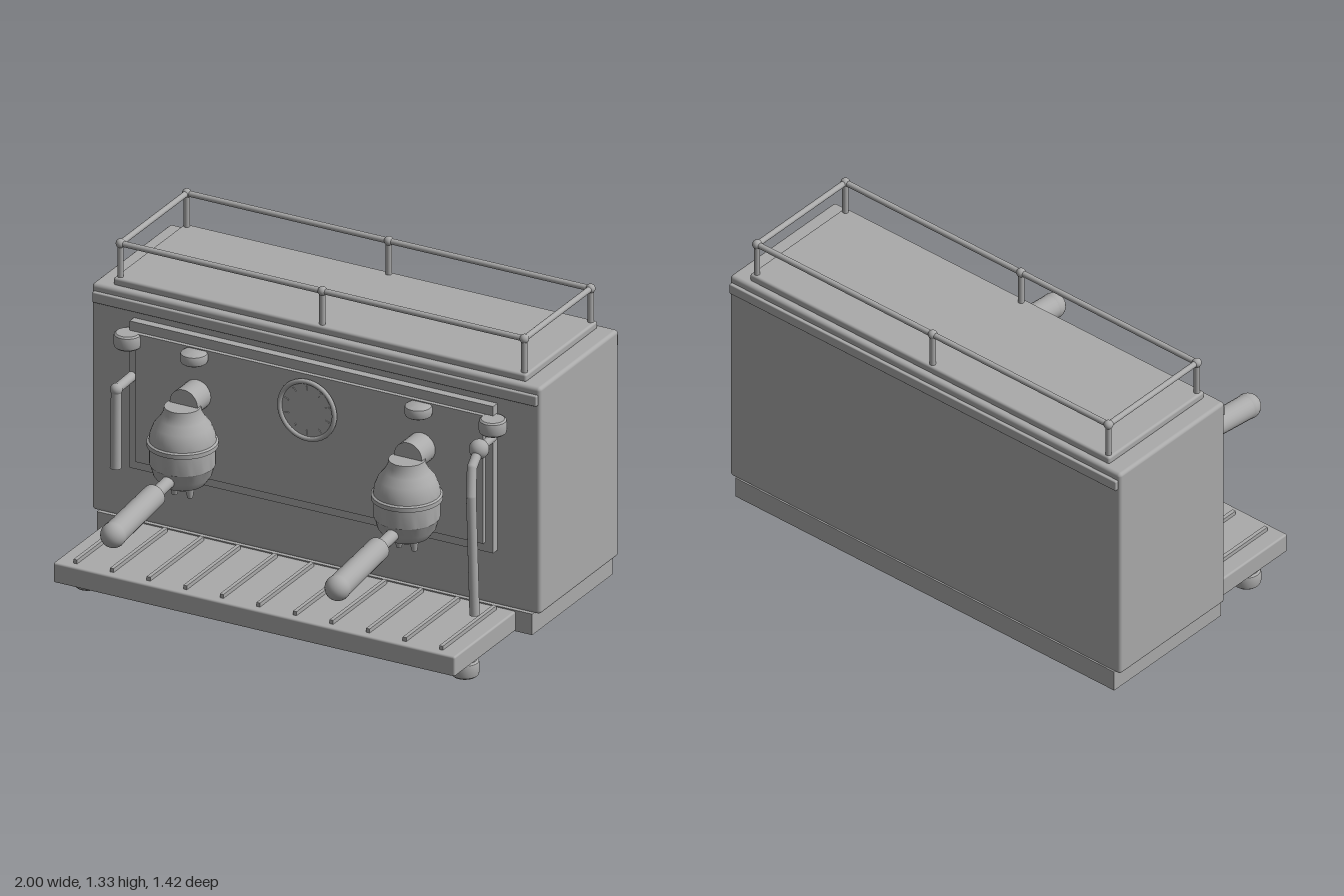
import * as THREE from 'three';
import { toCreasedNormals } from 'three/addons/utils/BufferGeometryUtils.js';
import { RoundedBoxGeometry } from 'three/addons/geometries/RoundedBoxGeometry.js';

const V = (x, y, z) => new THREE.Vector3(x, y, z);

export function createModel() {
  const model = new THREE.Group();
  model.name = 'espressoMachine';
  const metal = new THREE.MeshStandardMaterial({ color: 0xaaaaaa });
  metal.name = 'grey metal';

  function add(name, geometry, x = 0, y = 0, z = 0, parent = model) {
    const mesh = new THREE.Mesh(geometry, metal);
    mesh.name = name;
    mesh.position.set(x, y, z);
    parent.add(mesh);
    return mesh;
  }
  // Box given by its min and max corners, optionally rounded
  function box(name, [x0, x1], [y0, y1], [z0, z1], r = 0) {
    const s = [x1 - x0, y1 - y0, z1 - z0];
    const g = r ? new RoundedBoxGeometry(...s, 3, r) : new THREE.BoxGeometry(...s);
    return add(name, g, (x0 + x1) / 2, (y0 + y1) / 2, (z0 + z1) / 2);
  }
  // Round bar between two points
  function rod(name, a, b, r, rEnd = r, parent = model) {
    const d = b.clone().sub(a);
    const mesh = add(name, new THREE.CylinderGeometry(rEnd, r, d.length(), 24), 0, 0, 0, parent);
    mesh.position.copy(a).addScaledVector(d, 0.5);
    mesh.quaternion.setFromUnitVectors(V(0, 1, 0), d.normalize());
    return mesh;
  }
  const ball = (name, p, r, parent = model) =>
    add(name, new THREE.SphereGeometry(r, 24, 16), p.x, p.y, p.z, parent);
  const lathe = (pts, seg = 40) => toCreasedNormals(
    new THREE.LatheGeometry(pts.map(p => new THREE.Vector2(...p)), seg), 0.6);
  // Bevelled puck used for feet and knobs
  const puck = (r, h) => lathe([[0, 0], [r * 0.82, 0], [r * 0.95, h * 0.1], [r, h * 0.28],
    [r, h * 0.72], [r * 0.95, h * 0.9], [r * 0.82, h], [0, h]], 32);

  // Cabinet, base and drip tray
  box('body', [-1, 1], [0.163, 1.135], [-0.69, -0.06], 0.015);
  box('base', [-0.97, 0.97], [0.075, 0.165], [-0.69, -0.05]);
  box('dripTray', [-0.895, 0.895], [0.075, 0.16], [-0.06, 0.435], 0.008);
  for (let i = -5; i <= 5; i++) {
    const x = i * 0.163;
    box('trayRib', [x - 0.008, x + 0.008], [0.155, 0.177], [-0.03, 0.4]);
  }
  box('frontTrim', [-0.99, 0.99], [1.06, 1.105], [-0.07, -0.045], 0.005);
  box('backTrim', [-0.99, 0.99], [1.06, 1.105], [-0.705, -0.68], 0.005);
  for (const x of [-0.84, 0.84]) for (const z of [-0.535, 0.255]) {
    add('foot', puck(0.058, 0.068), x, 0, z);
    rod('footStem', V(x, 0.06, z), V(x, 0.08, z), 0.04);
  }

  // Cup shelf and gallery rail
  box('cupShelf', [-0.92, 0.92], [1.13, 1.165], [-0.663, -0.09], 0.01);
  const zf = -0.113, zb = -0.642, yr = 1.307, xr = 0.9;
  for (const z of [zf, zb]) {
    rod('railLong', V(-xr, yr, z), V(xr, yr, z), 0.012);
    for (const x of [-xr, 0, xr]) {
      rod('railPost', V(x, 1.16, z), V(x, yr, z), 0.0125);
      ball('railBall', V(x, yr, z), 0.019);
    }
  }
  for (const x of [-xr, xr]) rod('railSide', V(x, yr, zb), V(x, yr, zf), 0.012);

  // Front panel in two steps
  box('panelFrame', [-0.81, 0.81], [0.4, 1.03], [-0.07, -0.025]);
  box('panelInset', [-0.775, 0.775], [0.44, 0.99], [-0.03, -0.007]);

  // Pressure gauge
  const gauge = new THREE.Group();
  gauge.name = 'gauge';
  gauge.position.set(0, 0.845, 0);
  model.add(gauge);
  rod('gaugeFace', V(0, 0, -0.02), V(0, 0, 0.01), 0.122, 0.122, gauge);
  add('gaugeBezel', new THREE.TorusGeometry(0.122, 0.01, 12, 48), 0, 0, 0.01, gauge);
  for (let i = 0; i < 10; i++) {
    const a = i * Math.PI / 5;
    const tick = add('gaugeTick', new THREE.BoxGeometry(0.006, 0.018, 0.006),
      Math.sin(a) * 0.095, Math.cos(a) * 0.095, 0.011, gauge);
    tick.rotation.z = -a;
  }

  // Brew groups with portafilters
  const bell = lathe([[0, 0.445], [0.055, 0.448], [0.09, 0.465], [0.115, 0.5], [0.126, 0.54],
    [0.13, 0.545], [0.13, 0.62], [0.141, 0.624], [0.141, 0.642], [0.132, 0.647],
    [0.128, 0.675], [0.114, 0.71], [0.09, 0.74], [0.076, 0.765], [0.072, 0.79], [0, 0.79]]);
  for (const x of [-0.5, 0.5]) {
    const g = new THREE.Group();
    g.name = 'brewGroup';
    g.position.set(x, 0, 0);
    model.add(g);
    add('groupBell', bell, 0, 0, 0.108, g);
    rod('groupNeck', V(0, 0.793, -0.02), V(0, 0.793, 0.1), 0.062, 0.062, g);
    for (const s of [-1, 1])
      rod('spout', V(s * 0.03, 0.47, 0.11), V(s * 0.035, 0.405, 0.11), 0.024, 0.011, g);
    rod('handleStem', V(0, 0.512, 0.2), V(0, 0.497, 0.35), 0.026, 0.026, g);
    rod('handleGrip', V(0, 0.498, 0.335), V(0, 0.461, 0.66), 0.048, 0.05, g);
    ball('handleEnd', V(0, 0.461, 0.66), 0.052, g);
    add('groupKnob', puck(0.055, 0.047), 0, 0.939, 0.017, g);
    rod('groupKnobStem', V(0, 0.963, -0.03), V(0, 0.963, 0.017), 0.018, 0.018, g);
  }

  // Valve knobs
  for (const x of [-0.808, 0.82]) {
    add('valveKnob', puck(0.056, 0.062), x, 0.928, -0.005);
    rod('valveStem', V(x, 0.959, -0.07), V(x, 0.959, -0.005), 0.018);
  }

  // Hot water spout on the model's right
  rod('waterPipe', V(-0.8, 0.795, -0.03), V(-0.8, 0.79, 0.1), 0.02);
  ball('waterElbow', V(-0.8, 0.79, 0.1), 0.025);
  rod('waterSpout', V(-0.8, 0.455, 0.105), V(-0.8, 0.79, 0.1), 0.023, 0.021);

  // Steam wand on the model's left
  rod('steamPipe', V(0.8, 0.89, -0.04), V(0.8, 0.885, 0.07), 0.017);
  ball('steamJoint', V(0.8, 0.885, 0.07), 0.04);
  const wand = [V(0.8, 0.885, 0.07), V(0.812, 0.84, 0.148), V(0.832, 0.735, 0.19), V(0.855, 0.24, 0.204)];
  for (let i = 0; i < 3; i++) {
    rod('steamWand', wand[i], wand[i + 1], 0.02);
    if (i) ball('steamWandBend', wand[i], 0.02);
  }
  return model;
}
